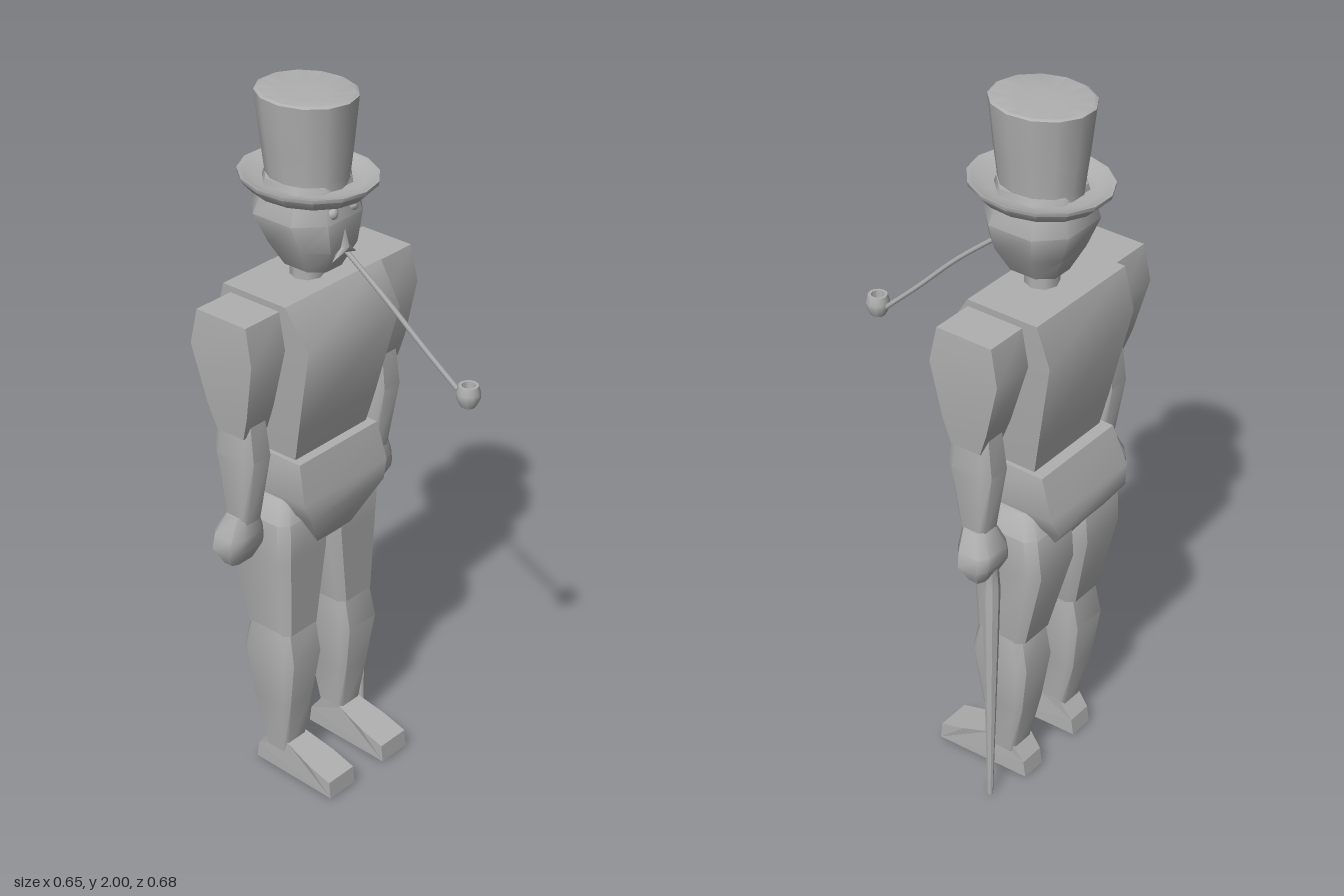
import * as THREE from 'three';
import { toCreasedNormals } from 'three/addons/utils/BufferGeometryUtils.js';

const grey = new THREE.MeshStandardMaterial({ color: 0xb0b0b0 });
grey.name = 'plain grey';

// Closed loft through sections [y, x0, x1, z0, z1], listed from bottom to top.
// cut trims the section corners (0 = rectangle).
function loft(sections, cut = 0, crease = 0.8) {
  const k = 1 - cut;
  const ring = cut
    ? [[1, -k], [1, k], [k, 1], [-k, 1], [-1, k], [-1, -k], [-k, -1], [k, -1]]
    : [[1, -1], [1, 1], [-1, 1], [-1, -1]];
  const n = ring.length, pos = [], idx = [];
  for (const [y, x0, x1, z0, z1] of sections)
    for (const [u, v] of ring)
      pos.push((x0 + x1) / 2 + u * (x1 - x0) / 2, y, (z0 + z1) / 2 + v * (z1 - z0) / 2);
  for (let s = 0; s < sections.length - 1; s++)
    for (let i = 0; i < n; i++) {
      const a = s * n + i, b = s * n + (i + 1) % n;
      idx.push(a, a + n, b, b, a + n, b + n);
    }
  const t = (sections.length - 1) * n;
  for (let i = 1; i < n - 1; i++) idx.push(0, i, i + 1, t, t + i + 1, t + i);
  const g = new THREE.BufferGeometry();
  g.setAttribute('position', new THREE.Float32BufferAttribute(pos, 3));
  g.setIndex(idx);
  return toCreasedNormals(g, crease);
}

function lathe(points, sides) {
  const g = new THREE.LatheGeometry(points.map(p => new THREE.Vector2(...p)), sides);
  return toCreasedNormals(g, 0.7);
}

export function createModel() {
  const model = new THREE.Group();
  model.name = 'figure';
  const add = (name, geometry, x = 0, y = 0, z = 0) => {
    const m = new THREE.Mesh(geometry, grey);
    m.name = name;
    m.position.set(x, y, z);
    model.add(m);
    return m;
  };

  // Torso
  add('chest', loft([
    [1.0, -0.135, 0.135, -0.24, -0.09], [1.12, -0.15, 0.15, -0.265, -0.06],
    [1.38, -0.175, 0.175, -0.315, 0.0], [1.49, -0.182, 0.182, -0.28, -0.07]]));
  add('pelvis', loft([
    [0.75, -0.065, 0.065, -0.25, -0.075], [0.87, -0.145, 0.145, -0.33, -0.025],
    [0.92, -0.163, 0.163, -0.32, -0.03], [1.03, -0.152, 0.152, -0.28, -0.055]]));
  add('neck', new THREE.CylinderGeometry(0.045, 0.045, 0.12, 8), 0, 1.51, -0.16);

  // Head and face
  add('head', loft([
    [1.53, -0.06, 0.06, -0.22, -0.07], [1.6, -0.1, 0.1, -0.255, -0.035],
    [1.68, -0.13, 0.13, -0.285, -0.03], [1.77, -0.1, 0.1, -0.255, -0.055]], 0.5));
  for (const s of [-1, 1]) {
    add('eye', new THREE.SphereGeometry(0.017, 10, 8), s * 0.038, 1.703, -0.042);
    const half = add('moustache', new THREE.ConeGeometry(0.014, 0.055, 5), s * 0.022, 1.588, -0.035);
    half.rotation.z = -s * 2.1;
  }
  const nose = add('nose', new THREE.ConeGeometry(0.016, 0.05, 4), 0, 1.63, -0.032);
  nose.scale.z = 0.8;

  // Top hat: oval brim with a turned-up edge and a flared crown
  const brim = add('hatBrim', lathe([
    [0.09, 0.0], [0.14, 0.0], [0.165, 0.028], [0.166, 0.038], [0.155, 0.036],
    [0.13, 0.02], [0.09, 0.022]], 15), 0, 1.733, -0.152);
  brim.scale.z = 1.14;
  const crown = add('hatCrown', lathe([
    [0, 0], [0.098, 0], [0.1, 0.03], [0.108, 0.1], [0.121, 0.235], [0.114, 0.239],
    [0.06, 0.23], [0, 0.25]], 13), 0, 1.75, -0.155);
  crown.scale.z = 1.14;

  // Pipe
  const stem = new THREE.CatmullRomCurve3([
    [0.015, 1.585, -0.045], [0.03, 1.475, 0.085], [0.05, 1.37, 0.19], [0.068, 1.28, 0.285],
  ].map(p => new THREE.Vector3(...p)));
  add('pipeStem', new THREE.TubeGeometry(stem, 12, 0.007, 6));
  add('pipeBowl', lathe([
    [0, -0.03], [0.02, -0.025], [0.031, -0.003], [0.032, 0.013], [0.026, 0.033],
    [0.018, 0.033], [0.016, 0.005], [0, 0.003]], 12), 0.068, 1.275, 0.314);

  // Arms and legs, mirrored in x
  for (const s of [-1, 1]) {
    const side = s > 0 ? 'left' : 'right';
    const limb = (name, sections, cut) => add(side + name, loft(sections.map(
      ([y, a, b, z0, z1]) => [y, Math.min(s * a, s * b), Math.max(s * a, s * b), z0, z1]), cut));
    limb('UpperArm', [
      [1.15, 0.212, 0.3, -0.2, -0.11], [1.22, 0.208, 0.307, -0.225, -0.09],
      [1.38, 0.195, 0.318, -0.266, -0.06], [1.48, 0.193, 0.314, -0.245, -0.08]]);
    limb('Forearm', [
      [0.88, 0.218, 0.288, -0.195, -0.125], [1.08, 0.207, 0.302, -0.225, -0.09],
      [1.21, 0.215, 0.295, -0.21, -0.105]], 0.35);
    limb('Hand', [
      [0.75, 0.215, 0.3, -0.2, -0.155], [0.8, 0.192, 0.327, -0.225, -0.13],
      [0.84, 0.2, 0.318, -0.225, -0.125], [0.9, 0.22, 0.295, -0.195, -0.13]], 0.4);
    limb('Thigh', [
      [0.49, 0.045, 0.178, -0.24, -0.085], [0.73, 0.008, 0.192, -0.295, -0.075],
      [0.85, 0.006, 0.198, -0.285, -0.07], [0.91, 0.04, 0.165, -0.25, -0.1]], 0.25);
    limb('Shin', [
      [0.08, 0.073, 0.152, -0.195, -0.12], [0.25, 0.058, 0.172, -0.23, -0.095],
      [0.4, 0.043, 0.185, -0.25, -0.072], [0.5, 0.045, 0.178, -0.23, -0.09]], 0.25);

    // Shoe: side outline pulled across the width
    const outline = [[-0.05, 0.012], [0.235, 0.012], [0.228, 0.06], [0.19, 0.11],
      [0.115, 0.112], [0.03, 0.085], [-0.045, 0.062]];
    const shape = new THREE.Shape(outline.map(p => new THREE.Vector2(...p)));
    const shoe = new THREE.ExtrudeGeometry(shape, { depth: 0.1, bevelEnabled: false });
    shoe.translate(0, 0, -0.05).rotateY(Math.PI / 2);
    const p = shoe.attributes.position;
    for (let i = 0; i < p.count; i++) {
      if (p.getY(i) > 0.1) p.setX(i, p.getX(i) * 0.8);
      else if (p.getZ(i) < -0.2) p.setX(i, p.getX(i) * 0.75);
    }
    shoe.computeVertexNormals();
    add(side + 'Shoe', shoe, s * 0.11);
  }

  // Walking cane held in the left hand
  const cane = add('cane', lathe([
    [0, 0], [0.008, 0.002], [0.01, 0.1], [0.02, 0.5], [0.024, 0.7], [0.018, 0.78],
    [0.028, 0.8], [0.03, 0.825], [0.02, 0.845], [0, 0.85]], 8), 0.252, 0.005, -0.195);
  cane.rotation.z = 0.006;

  return model;
}
